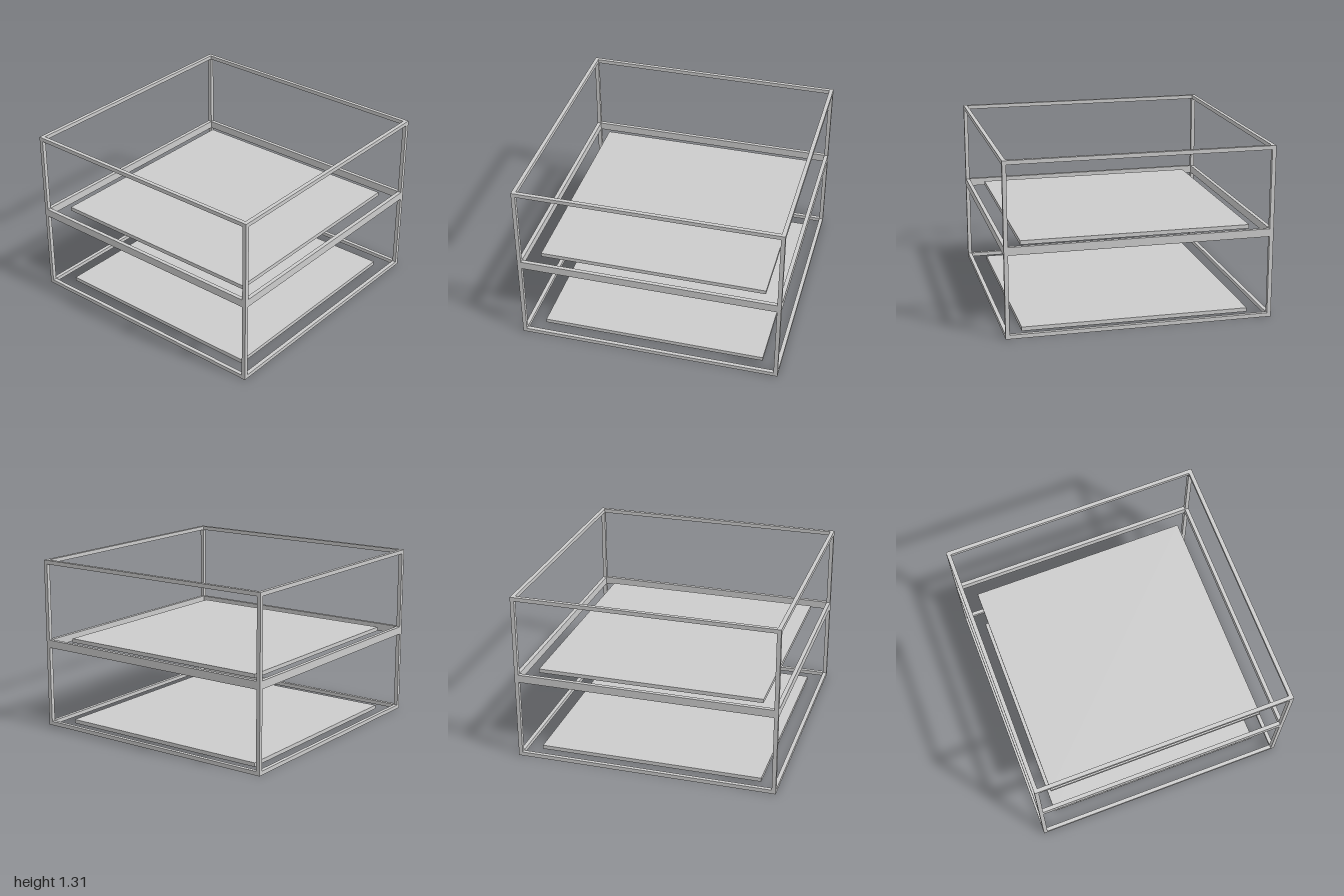
import * as THREE from 'three';

const BAR = 0.03;      // square bar thickness
const TIER = 0.655;    // height of one stacked tier
const PANEL = 1.72;    // width of the square shelf panel

export function createModel() {
  const model = new THREE.Group();
  model.name = 'twoTierFrame';
  const material = new THREE.MeshStandardMaterial({ color: 0xcccccc, flatShading: true });

  function addBox(name, w, h, d, x, y, z) {
    const mesh = new THREE.Mesh(new THREE.BoxGeometry(w, h, d), material);
    mesh.name = name;
    mesh.position.set(x, y, z);
    model.add(mesh);
  }

  // A square ring of four rails, its underside at height y
  function addRing(name, y, h) {
    const c = 1 - BAR / 2;
    for (const s of [-1, 1]) {
      addBox(name, 2, h, BAR, 0, y + h / 2, s * c);
      addBox(name, BAR, h, 2 - 2 * BAR, s * c, y + h / 2, 0);
    }
  }

  // Bottom, double-height middle and top rails
  addRing('bottomRail', 0, BAR);
  addRing('middleRail', TIER - BAR, 2 * BAR);
  addRing('topRail', 2 * TIER - BAR, BAR);

  // Corner posts between the rails of each tier
  const postHeight = TIER - 2 * BAR;
  for (const tier of [0, 1])
    for (const sx of [-1, 1])
      for (const sz of [-1, 1])
        addBox('cornerPost', BAR, postHeight, BAR,
          sx * (1 - BAR / 2), tier * TIER + TIER / 2, sz * (1 - BAR / 2));

  // Floating shelf panel at the base of each tier
  for (const tier of [0, 1])
    addBox('shelfPanel', PANEL, BAR, PANEL, 0, tier * TIER + BAR / 2, 0);

  return model;
}
